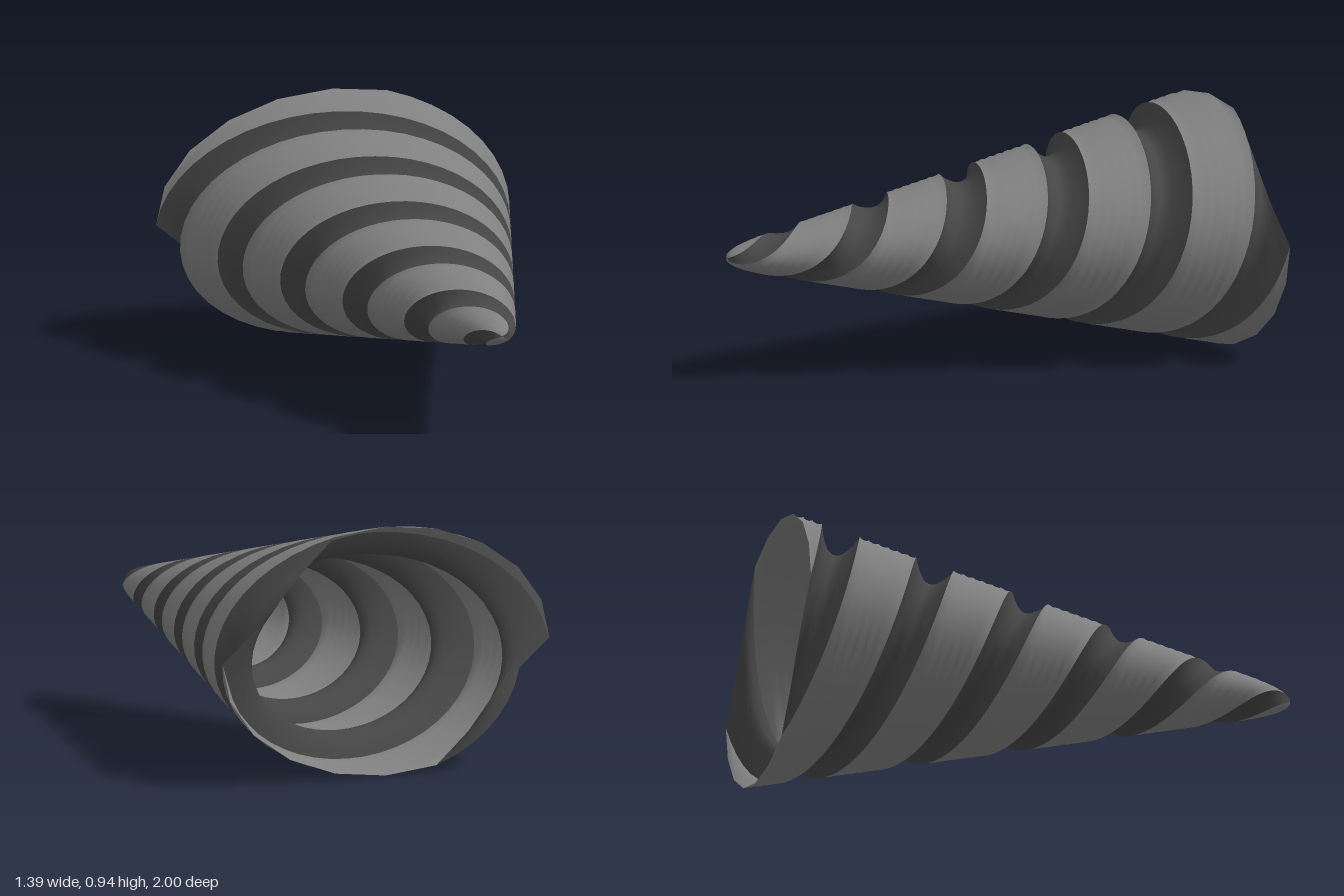
import * as THREE from 'three';

const PITCH = 0.76, RINGS = 150, STEP = Math.PI / 10, SQUASH = 0.677;

// Outer radius along the length: straight cone with a rounded nose
function coneRadius(z) {
  if (z > 0.85) return 0.105 * Math.sqrt(Math.max(0, 1 - z) / 0.15);
  return 0.694 - 0.318 * (z + 1);
}

// Helical strip: each column keeps its own share of the cone radius
function helixStrip(startAngle, factors) {
  const pos = [], index = [], n = factors.length;
  for (let i = 0; i <= RINGS; i++) {
    const t = i / RINGS;
    const z = -1 + 2 * (1 - (1 - t) ** 1.25); // rings bunch up at the nose
    const r = coneRadius(z), turn = (-2 * Math.PI * (z + 1)) / PITCH;
    factors.forEach((f, j) => {
      const a = startAngle + j * STEP + turn;
      pos.push(r * f * Math.cos(a), 0.47 + SQUASH * r * f * Math.sin(a), z);
      if (i < RINGS && j < n - 1) {
        const p = i * n + j, q = p + n;
        index.push(p, p + 1, q, p + 1, q + 1, q);
      }
    });
  }
  const geo = new THREE.BufferGeometry();
  geo.setAttribute('position', new THREE.Float32BufferAttribute(pos, 3));
  geo.setIndex(index);
  geo.computeVertexNormals();
  return geo;
}

export function createModel() {
  const ridgeGrey = new THREE.MeshStandardMaterial({ color: 0x808080, side: THREE.DoubleSide });
  ridgeGrey.name = 'ridgeGrey';
  const grooveGrey = new THREE.MeshStandardMaterial({ color: 0x464646, side: THREE.DoubleSide });
  grooveGrey.name = 'grooveGrey';

  const group = new THREE.Group();
  group.name = 'drillCone';
  const add = (name, geo, mat) => {
    const mesh = new THREE.Mesh(geo, mat);
    mesh.name = name;
    group.add(mesh);
  };

  // Two-start thread: a groove and a ridge on each half turn
  for (let k = 0; k < 2; k++) {
    const a = k * Math.PI;
    add('groove' + (k + 1), helixStrip(a, [1, 0.83, 0.8, 0.86, 1]), grooveGrey);
    add('ridge' + (k + 1), helixStrip(a + 4 * STEP, [1, 1, 1, 1, 1, 1, 1]), ridgeGrey);
  }
  return group;
}
